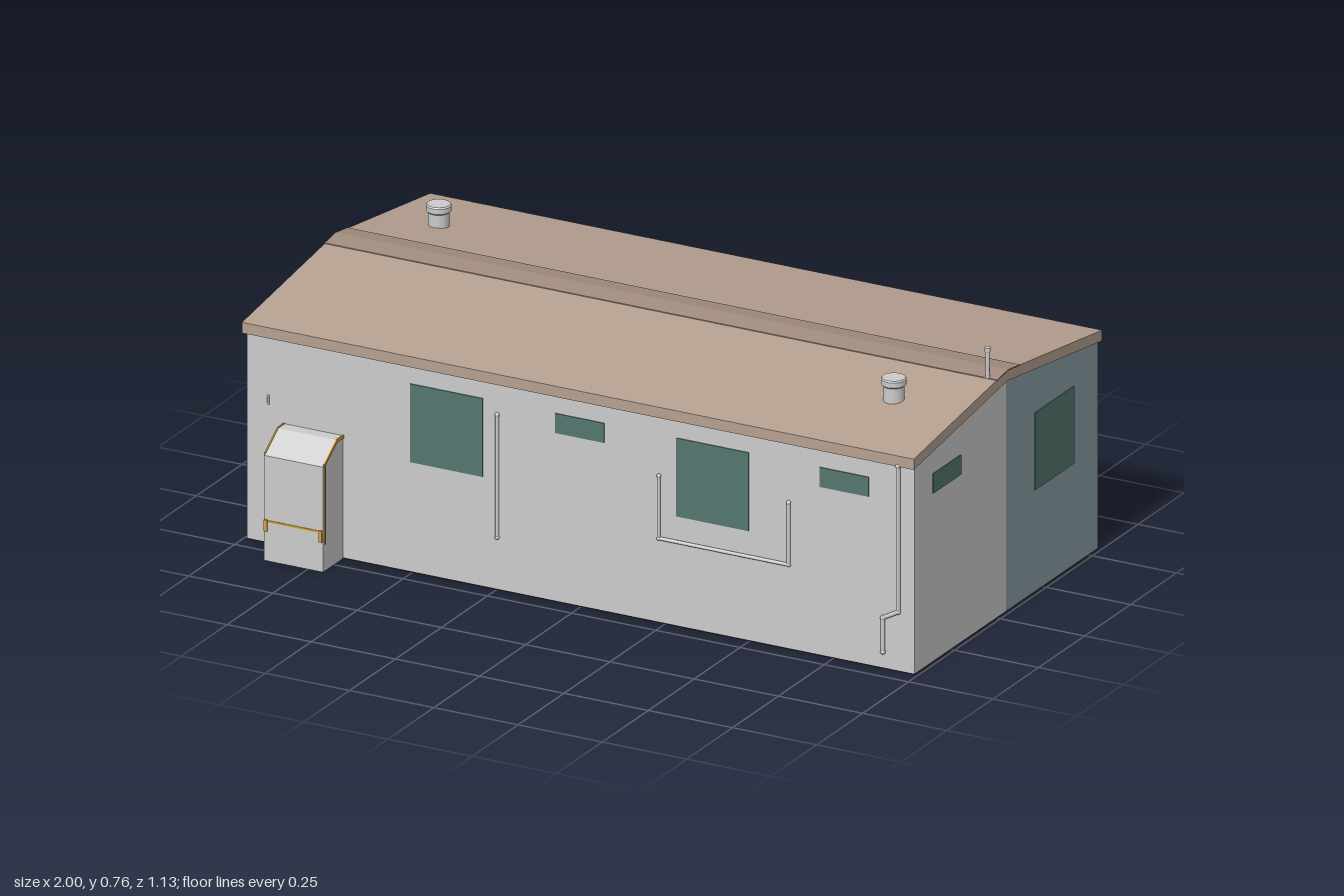
import * as THREE from 'three';

const mat = (color) => new THREE.MeshStandardMaterial({ color });
const grey = mat(0xcccccc), blue = mat(0x8a9da5), tan = mat(0xb5a090), tanDark = mat(0xa08c7d);
const green = mat(0x55766f), yellow = mat(0xd9a030), dark = mat(0x332b28);

const FRONT = 0.45, BACK = -0.55, RIDGE = -0.05, END = 0.99;

export function createModel() {
  const model = new THREE.Group();

  const add = (name, geometry, material, x = 0, y = 0, z = 0, parent = model) => {
    const mesh = new THREE.Mesh(geometry, material);
    mesh.name = name;
    mesh.position.set(x, y, z);
    parent.add(mesh);
    return mesh;
  };

  // Extrudes a [z, y] outline along x from x0 to x1
  const prism = (name, outline, x0, x1, material, parent = model) => {
    const shape = new THREE.Shape(outline.map(([z, y]) => new THREE.Vector2(-z, y)));
    const g = new THREE.ExtrudeGeometry(shape, { depth: x1 - x0, bevelEnabled: false });
    g.rotateY(Math.PI / 2);
    return add(name, g, material, x0, 0, 0, parent);
  };

  // Flat panel on a long wall (z) or on an end wall (x)
  const wallPanel = (name, x0, x1, y0, y1, z, material) =>
    add(name, new THREE.BoxGeometry(x1 - x0, y1 - y0, 0.004), material, (x0 + x1) / 2, (y0 + y1) / 2, z);
  const endPanel = (name, z0, z1, y0, y1, x, material) =>
    add(name, new THREE.BoxGeometry(0.004, y1 - y0, z1 - z0), material, x, (y0 + y1) / 2, (z0 + z1) / 2);

  // Pipe of straight runs with round elbows
  const pipe = (name, points, r = 0.005) => {
    const group = new THREE.Group();
    group.name = name;
    const p = points.map((a) => new THREE.Vector3(...a));
    p.forEach((v, i) => {
      add('elbow', new THREE.SphereGeometry(r * 1.25, 10, 8), grey, v.x, v.y, v.z, group);
      if (!i) return;
      const dir = v.clone().sub(p[i - 1]);
      const mid = v.clone().add(p[i - 1]).multiplyScalar(0.5);
      const run = add('run', new THREE.CylinderGeometry(r, r, dir.length(), 10), grey, mid.x, mid.y, mid.z, group);
      run.quaternion.setFromUnitVectors(new THREE.Vector3(0, 1, 0), dir.normalize());
    });
    model.add(group);
  };

  // Walls in two halves, and the floor
  prism('frontWalls', [[FRONT, 0.003], [FRONT, 0.58], [RIDGE, 0.648], [RIDGE, 0.003]].reverse(), -END, END, grey);
  prism('backWalls', [[RIDGE, 0.003], [RIDGE, 0.648], [BACK, 0.58], [BACK, 0.003]].reverse(), -END, END, blue);
  add('floor', new THREE.BoxGeometry(2 * END, 0.003, FRONT - BACK), dark, 0, 0.0015, (FRONT + BACK) / 2);

  // Gabled roof slab and ridge cap
  prism('roof', [[0.46, 0.58], [0.46, 0.61], [RIDGE, 0.68], [-0.565, 0.61], [-0.565, 0.58], [RIDGE, 0.65]], -1, 0.994, tan);
  prism('ridgeCap', [[0.01, 0.671], [0.01, 0.674], [RIDGE, 0.682], [-0.115, 0.673], [-0.115, 0.67], [RIDGE, 0.679]],
    -1, 0.996, tanDark);

  // Windows and pipes on both long walls
  for (const side of [1, -1]) {
    const z = side > 0 ? FRONT + 0.001 : BACK - 0.001;
    const pz = z + side * 0.005;
    const tag = side > 0 ? 'front' : 'back';
    wallPanel(tag + 'EndWindow', side > 0 ? 0.71 : -0.855, side > 0 ? 0.855 : -0.71, 0.475, 0.53, z, green);
    wallPanel(tag + 'LargeWindow', 0.285, 0.5, 0.31, 0.53, z, green);
    if (side > 0) {
      wallPanel('frontSecondLargeWindow', -0.505, -0.29, 0.31, 0.53, z, green);
      wallPanel('frontMiddleWindow', -0.075, 0.07, 0.475, 0.53, z, green);
    } else {
      wallPanel('backFarWindow', 0.715, 0.86, 0.475, 0.53, z, green);
      wallPanel('backDoor', -0.525, -0.37, 0.19, 0.535, z, grey);
    }
    const [u0, u1, vx, dx] = side > 0 ? [0.235, 0.62, -0.245, 0.945] : [-0.25, 0.145, -0.89, 0.925];
    pipe(tag + 'LoopPipe', [[u0, 0.415, pz], [u0, 0.24, pz], [u1, 0.24, pz], [u1, 0.415, pz]]);
    pipe(tag + 'WallPipe', [[vx, 0.15, pz], [vx, 0.495, pz]]);
    pipe(tag + 'Downpipe', [[dx, 0.58, pz], [dx, 0.17, pz], [dx - 0.045, 0.145, pz], [dx - 0.045, 0.05, pz]], 0.006);
  }
  pipe('wallHook', [[-0.925, 0.395, FRONT + 0.004], [-0.925, 0.415, FRONT + 0.004]], 0.003);

  // End walls
  endPanel('rightSmallWindow', 0.2, 0.35, 0.475, 0.53, END + 0.001, green);
  endPanel('rightLargeWindow', -0.417, -0.205, 0.288, 0.505, END + 0.001, green);
  endPanel('leftSmallWindow', 0.21, 0.36, 0.475, 0.53, -END - 0.001, green);
  pipe('endWallPipe', [[-END - 0.004, 0.14, -0.195], [-END - 0.004, 0.485, -0.195]]);

  // Sloped entry cabinet with yellow trim
  const cabinet = new THREE.Group();
  cabinet.name = 'cabinet';
  model.add(cabinet);
  const [c0, c1] = [-0.88, -0.705];
  prism('cabinetBody', [[0.445, 0], [0.445, 0.345], [0.485, 0.345], [0.56, 0.295], [0.56, 0]].reverse(), c0, c1, grey, cabinet);
  for (const x of [c0, c1]) {
    prism('slopeTrim', [[0.45, 0.338], [0.45, 0.347], [0.486, 0.347], [0.555, 0.301], [0.555, 0.292], [0.484, 0.339]].reverse(),
      x - 0.002, x + 0.002, yellow, cabinet);
    add('sideTrim', new THREE.BoxGeometry(0.004, 0.22, 0.006), yellow, x, 0.185, 0.549, cabinet);
    const inward = x === c0 ? 0.006 : -0.006;
    add('bracket', new THREE.BoxGeometry(0.01, 0.032, 0.006), yellow, x + inward, 0.1, 0.562, cabinet);
  }
  add('frontTrim', new THREE.BoxGeometry(c1 - c0, 0.005, 0.004), yellow, (c0 + c1) / 2, 0.112, 0.56, cabinet);

  // Roof vents with flared caps
  const ventProfile = [[0, 0], [0.028, 0], [0.028, 0.05], [0.034, 0.055], [0.034, 0.069], [0.031, 0.073], [0, 0.073]]
    .map(([r, y]) => new THREE.Vector2(r, y));
  for (const [x, z] of [[0.79, 0.195], [-0.83, -0.3]]) {
    const vent = add('roofVent', new THREE.LatheGeometry(ventProfile, 20).toNonIndexed(), grey, x, 0.635, z);
    vent.geometry.computeVertexNormals();
  }

  // Thin mast with a thicker head
  add('mast', new THREE.CylinderGeometry(0.005, 0.006, 0.09, 12), grey, 0.965, 0.705, 0.005);
  add('mastHead', new THREE.CylinderGeometry(0.008, 0.008, 0.012, 12), grey, 0.965, 0.752, 0.005);

  return model;
}
